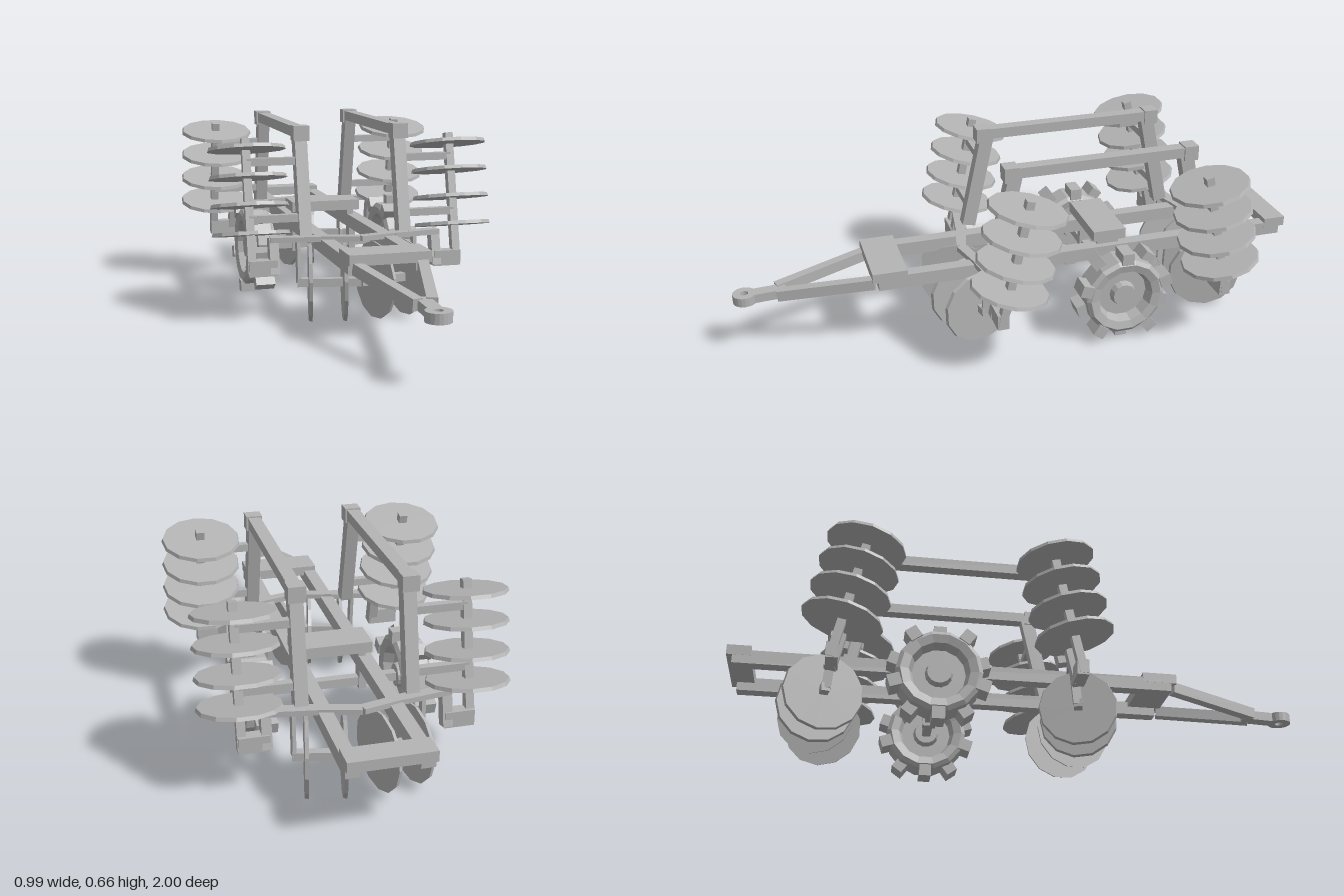
import * as THREE from 'three';

const steel = new THREE.MeshStandardMaterial({ color: 0xb4b4b4, flatShading: true });
steel.name = 'grey steel';

const MID = -0.248;   // the gangs mirror front to rear about this z
const SLOPE = 0.217;  // lean of the gang shafts

const V = (x, y, z) => new THREE.Vector3(x, y, z);

function add(parent, name, geometry) {
  const mesh = new THREE.Mesh(geometry, steel);
  mesh.name = name;
  parent.add(mesh);
  return mesh;
}

function box(parent, name, w, h, d, x, y, z) {
  const mesh = add(parent, name, new THREE.BoxGeometry(w, h, d));
  mesh.position.set(x, y, z);
  return mesh;
}

// Square bar running from a to b
function bar(parent, name, a, b, w, h) {
  const mesh = box(parent, name, w, h, a.distanceTo(b), 0, 0, 0);
  mesh.position.copy(a).add(b).multiplyScalar(0.5);
  mesh.lookAt(b);
  return mesh;
}

// Faceted thin disc facing along an axis
function disc(parent, centre, axis) {
  const mesh = add(parent, 'discBlade', new THREE.CylinderGeometry(0.131, 0.135, 0.012, 13));
  mesh.position.copy(centre);
  mesh.quaternion.setFromUnitVectors(V(0, 1, 0), axis.normalize());
}

function buildFrame(parent) {
  const frame = new THREE.Group();
  frame.name = 'mainFrame';
  for (const s of [-1, 1]) {
    box(frame, 'frameRail', 0.045, 0.048, 1.5, s * 0.112, 0.262, -0.23);
    bar(frame, 'drawbarArm', V(s * 0.108, 0.258, 0.53), V(s * 0.022, 0.217, 0.85), 0.034, 0.038);
    box(frame, 'plateSupport', 0.025, 0.03, 0.08, s * 0.1, 0.3, -0.31);
  }
  box(frame, 'frontPlate', 0.27, 0.035, 0.12, 0, 0.285, 0.48);
  box(frame, 'middlePlate', 0.26, 0.038, 0.12, 0, 0.325, -0.31);
  box(frame, 'rearPlate', 0.27, 0.035, 0.08, 0, 0.285, -0.96);
  bar(frame, 'hitchTongue', V(0, 0.217, 0.82), V(0, 0.212, 0.935), 0.045, 0.032);

  // Hitch eye with its pin hole
  const shape = new THREE.Shape().absarc(0, 0, 0.04, 0, Math.PI * 2);
  shape.holes.push(new THREE.Path().absarc(0, 0, 0.014, 0, Math.PI * 2, true));
  const eye = add(frame, 'hitchEye',
    new THREE.ExtrudeGeometry(shape, { depth: 0.032, bevelEnabled: false, curveSegments: 10 }));
  eye.rotation.x = -Math.PI / 2;
  eye.position.set(0, 0.196, 0.96);
  parent.add(frame);
}

function buildWheel(parent, s) {
  const wheel = new THREE.Group();
  wheel.name = 'wheel';
  // Tyre, dished rim and hub in one turned profile
  const profile = [
    [0, -0.035], [0.04, -0.035], [0.046, -0.01], [0.088, -0.01], [0.1, -0.045], [0.128, -0.052], [0.142, -0.042],
    [0.142, 0.042], [0.128, 0.052], [0.1, 0.045], [0.088, 0.01], [0.046, 0.01], [0.04, 0.035], [0, 0.035],
  ].map(([r, h]) => new THREE.Vector2(r, h));
  add(wheel, 'tyreAndRim', new THREE.LatheGeometry(profile, 14));
  // Tread lugs staggered left and right
  const count = 10;
  for (let i = 0; i < count; i++) {
    const a = (i / count) * Math.PI * 2;
    const lug = box(wheel, 'treadLug', 0.042, 0.072, 0.042,
      Math.cos(a) * 0.151, i % 2 ? 0.02 : -0.02, Math.sin(a) * 0.151);
    lug.rotation.y = -a;
  }
  wheel.rotation.z = Math.PI / 2;
  wheel.position.set(s * 0.268, 0.176, -0.305);
  parent.add(wheel);
  box(parent, 'axleHanger', 0.025, 0.1, 0.045, s * 0.112, 0.2, -0.305);
}

// One side (s) of one gang (t: 1 front, -1 rear)
function buildGang(parent, s, t) {
  const P = (x, y, z) => V(s * x, y, MID + t * (z - MID));
  const shaftZ = (y) => 0.067 + (0.588 - y) * SLOPE;
  const gang = new THREE.Group();
  gang.name = t > 0 ? 'frontGang' : 'rearGang';

  // Chevron beam under the rails
  bar(gang, 'gangBeam', P(0, 0.286, 0.2), P(0.14, 0.286, 0.166), 0.035, 0.018);
  bar(gang, 'gangBeam', P(0.13, 0.286, 0.168), P(0.3, 0.286, 0.142), 0.04, 0.018);

  // Lowered blades on their axle
  bar(gang, 'lowerAxle', P(0, 0.138, 0.215), P(0.212, 0.138, 0.168), 0.028, 0.028);
  bar(gang, 'lowerHanger', P(0.207, 0.135, 0.168), P(0.207, 0.285, 0.155), 0.012, 0.03);
  disc(gang, P(0.056, 0.138, 0.202), V(s, 0, -0.22 * t));
  disc(gang, P(0.17, 0.138, 0.177), V(s, 0, -0.22 * t));

  // Folded-up blades on the leaning shaft
  const onShaft = (x, y) => P(x, y, shaftZ(y));
  bar(gang, 'foldedShaft', onShaft(0.366, 0.17), onShaft(0.366, 0.622), 0.028, 0.028);
  for (let i = 0; i < 4; i++) {
    disc(gang, onShaft(0.363, 0.307 + i * 0.0937), V(0, 1, -SLOPE * t));
  }
  bar(gang, 'shaftBracket', onShaft(0.28, 0.192), onShaft(0.378, 0.192), 0.04, 0.054);
  bar(gang, 'bracketPost', onShaft(0.289, 0.168), onShaft(0.289, 0.29), 0.032, 0.04);

  // Upright pole and the arms holding the shaft
  bar(gang, 'uprightPole', onShaft(0.177, 0.29), onShaft(0.177, 0.63), 0.043, 0.048);
  for (const y of [0.353, 0.543]) {
    bar(gang, 'shaftArm', onShaft(0.18, y), onShaft(0.366, y), 0.026, 0.026);
  }
  parent.add(gang);
}

export function createModel() {
  const model = new THREE.Group();
  model.name = 'foldingDiscHarrow';
  buildFrame(model);
  for (const s of [-1, 1]) {
    buildWheel(model, s);
    for (const t of [-1, 1]) {
      buildGang(model, s, t);
      box(model, 'poleCap', 0.055, 0.052, 0.05, s * 0.177, 0.637, MID + t * 0.32);
    }
    box(model, 'topBeam', 0.043, 0.036, 0.66, s * 0.177, 0.64, MID);
  }
  box(model, 'wheelAxle', 0.5, 0.03, 0.03, 0, 0.176, -0.305);
  return model;
}
